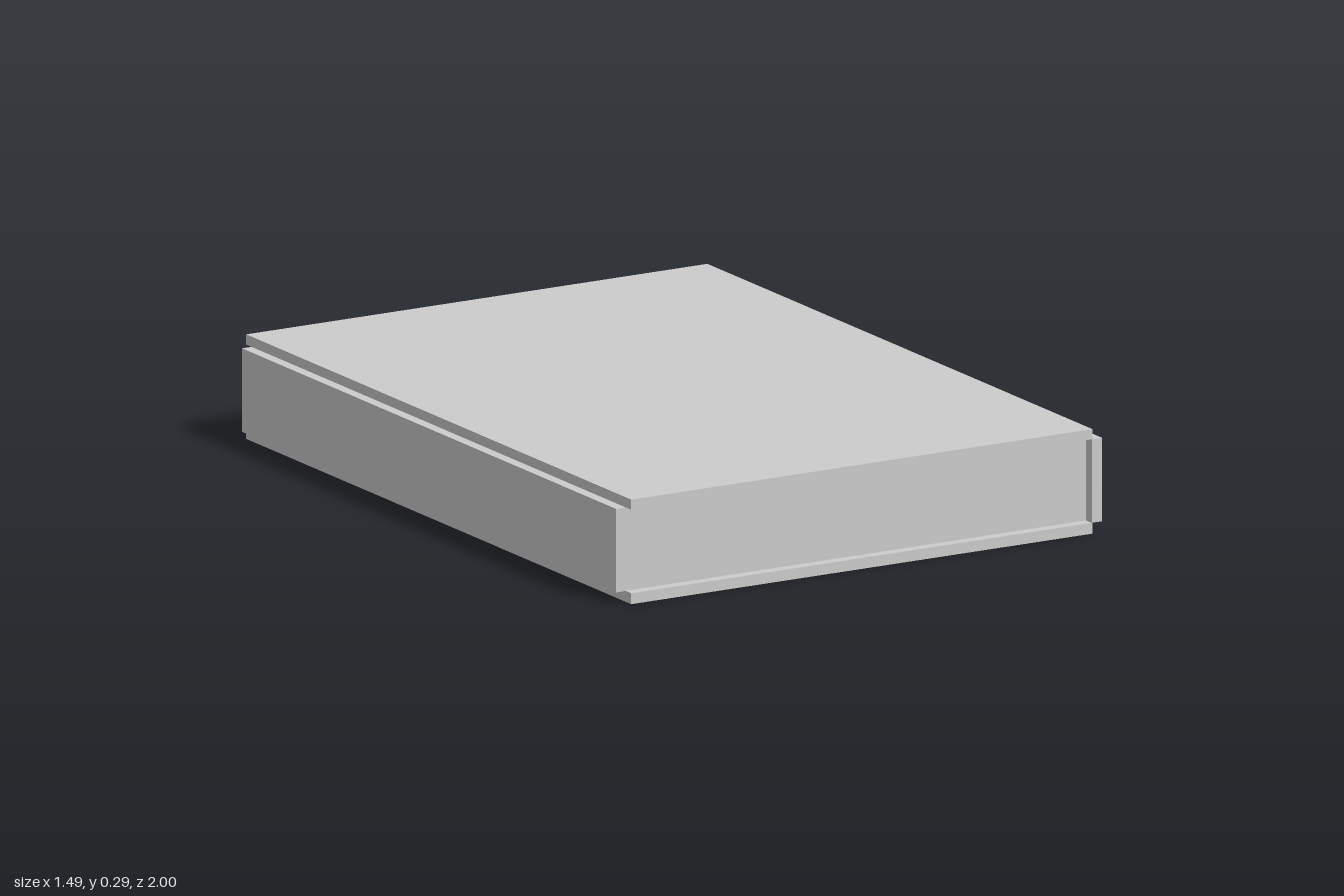
import * as THREE from 'three';

const FLOOR = 0.03;    // top of the base slab
const CEILING = 0.26;  // underside of the roof slab

export function createModel() {
  const model = new THREE.Group();
  model.name = 'building';

  const grey = new THREE.MeshStandardMaterial({ color: 0xcccccc });
  grey.name = 'plain grey';

  // Box given by its lower and upper limits on each axis
  function block(name, [x0, x1], [y0, y1], [z0, z1]) {
    const mesh = new THREE.Mesh(new THREE.BoxGeometry(x1 - x0, y1 - y0, z1 - z0), grey);
    mesh.position.set((x0 + x1) / 2, (y0 + y1) / 2, (z0 + z1) / 2);
    mesh.name = name;
    model.add(mesh);
  }

  // Slabs
  block('floorSlab', [-0.715, 0.715], [0, FLOOR], [-1, 1]);
  block('roofSlab', [-0.715, 0.715], [CEILING, 0.288], [-1, 1]);

  // Front and back walls, set in from the slab edges
  block('frontWall', [-0.715, 0.715], [FLOOR, CEILING], [0.94, 0.97]);
  block('backWall', [-0.715, 0.715], [FLOOR, CEILING], [-0.97, -0.94]);

  // Closed side wall
  block('rightWall', [-0.745, -0.715], [FLOOR, CEILING], [-0.972, 0.972]);

  // Side wall with two doorways cut up from its lower edge
  const outline = new THREE.Shape();
  outline.moveTo(-1, FLOOR);
  for (const z of [-0.575, 0.575]) {
    outline.lineTo(z - 0.064, FLOOR);
    outline.lineTo(z - 0.064, 0.232);
    outline.lineTo(z + 0.064, 0.232);
    outline.lineTo(z + 0.064, FLOOR);
  }
  outline.lineTo(1, FLOOR);
  outline.lineTo(1, CEILING);
  outline.lineTo(-1, CEILING);
  const wall = new THREE.ExtrudeGeometry(outline, { depth: 0.032, bevelEnabled: false });
  wall.rotateY(-Math.PI / 2); // shape x becomes z, depth runs toward -x
  const doorWall = new THREE.Mesh(wall, grey);
  doorWall.position.x = 0.745;
  doorWall.name = 'leftWallWithDoorways';
  model.add(doorWall);

  // Inner partition and low divider seen through the doorways
  block('innerPartition', [0.3, 0.715], [FLOOR, CEILING], [-0.77, -0.74]);
  block('lowDivider', [-0.4, 0.4], [FLOOR, 0.12], [-0.513, -0.485]);

  return model;
}
